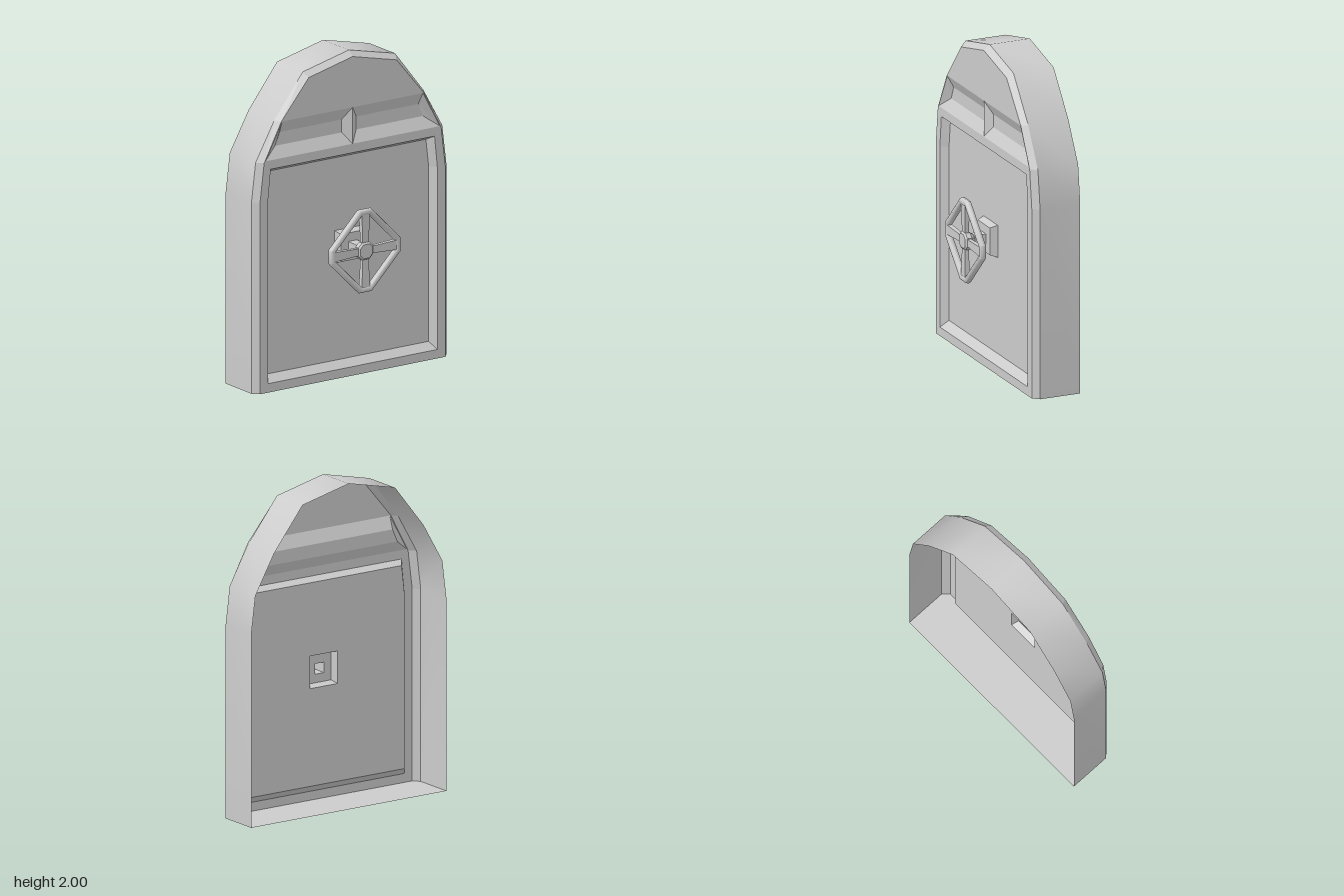
import * as THREE from 'three';
import { toCreasedNormals } from 'three/addons/utils/BufferGeometryUtils.js';

const V = (x, y, z) => new THREE.Vector3(x, y, z);
const smooth = new THREE.MeshStandardMaterial({ color: 0xcccccc, side: THREE.DoubleSide });
const flat = new THREE.MeshStandardMaterial({ color: 0xcccccc, side: THREE.DoubleSide, flatShading: true });

// Half profile (right side, bottom to top) mirrored into a counter-clockwise loop
const mirror = (half) => [
  ...half,
  ...half.filter(([x]) => x > 0).reverse().map(([x, y]) => [-x, y]),
];
const at = (loop, z) => loop.map(([x, y]) => V(x, y, z));
const square = (h, cy) => mirror([[h, cy - h], [h, cy + h]]);

// Skin between rows of points; closed joins the last point of each row to the first
function loft(rows, closed = true) {
  const pos = [];
  const n = rows[0].length;
  for (let i = 0; i < rows.length - 1; i++) {
    for (let j = 0; j < (closed ? n : n - 1); j++) {
      const k = (j + 1) % n;
      const [a, b, c, d] = [rows[i][j], rows[i][k], rows[i + 1][k], rows[i + 1][j]];
      for (const p of [a, b, c, a, c, d]) pos.push(p.x, p.y, p.z);
    }
  }
  const g = new THREE.BufferGeometry();
  g.setAttribute('position', new THREE.Float32BufferAttribute(pos, 3));
  g.computeVertexNormals();
  return g;
}

// Flat plate at depth z with optional holes
function plate(loop, z, holes = []) {
  const toV2 = (l) => l.map(([x, y]) => new THREE.Vector2(x, y));
  const shape = new THREE.Shape(toV2(loop));
  shape.holes = holes.map((h) => new THREE.Path(toV2(h)));
  return new THREE.ShapeGeometry(shape).translate(0, 0, z);
}

export function createModel() {
  const model = new THREE.Group();
  const door = new THREE.Group();
  door.name = 'door';
  const add = (parent, name, geometry, material = flat) => {
    const mesh = new THREE.Mesh(geometry, material);
    mesh.name = name;
    parent.add(mesh);
    return mesh;
  };

  const FRONT = 0.3, PANEL = 0.255, GROOVE = 0.262, CY = 0.8;

  // Outer arched shell, open at the back
  const outer = mirror([[0.71, 0], [0.71, 1.18], [0.68, 1.42], [0.543, 1.66], [0.336, 1.922], [0, 2]]);
  const face = mirror([[0.675, 0], [0.675, 1.18], [0.645, 1.42], [0.52, 1.655], [0.32, 1.893], [0, 1.968]]);
  add(door, 'archShell', toCreasedNormals(loft([at(outer, 0), at(outer, 0.262)]), 0.75), smooth);
  add(door, 'archBevel', loft([at(outer, 0.262), at(face, FRONT)]));

  // Front face with openings for the panel and the groove
  const opening = mirror([[0.617, 0.055], [0.617, 1.18], [0.597, 1.375]]);
  const inner = mirror([[0.586, 0.1], [0.586, 1.18], [0.566, 1.35]]);
  const grooveRim = mirror([[0.636, 1.43], [0.512, 1.655]]);
  const grooveBed = mirror([[0.54, 1.5], [0.505, 1.58]]);
  add(door, 'frontFace', plate(face, FRONT, [opening, grooveRim]));

  // Recessed panel with a hole behind the lock box
  add(door, 'panelEdge', loft([at(opening, FRONT), at(inner, PANEL)]));
  add(door, 'panel', plate(inner, PANEL, [square(0.1, CY)]));

  // Cross groove and the ridge that splits it
  add(door, 'grooveWalls', loft([at(grooveRim, FRONT), at(grooveBed, GROOVE)]));
  add(door, 'grooveBed', plate(grooveBed, GROOVE));
  const ridgeRow = (x, z) => [V(0, 1.655, FRONT), V(x, 1.58, z), V(x, 1.5, z), V(0, 1.43, FRONT)];
  add(door, 'grooveRidge', loft([ridgeRow(-0.053, GROOVE), ridgeRow(0, FRONT), ridgeRow(0.053, GROOVE)], false));

  // Hollow lock box and shaft
  const boxFront = square(0.085, CY), shaft = square(0.032, CY);
  add(door, 'lockBox', loft([at(square(0.1, CY), PANEL), at(boxFront, FRONT)]));
  add(door, 'lockBoxFront', plate(boxFront, FRONT, [shaft]));
  add(door, 'shaft', loft([at(shaft, FRONT), at(square(0.028, CY), 0.385)]));

  // Handwheel: rim, hub and spokes
  const wheel = new THREE.Group();
  wheel.name = 'handwheel';
  wheel.position.set(0, CY, 0.42);
  const octagon = (r, h) => {
    const pts = [];
    for (let q = 0; q < 4; q++) {
      const c = Math.round(Math.cos(q * Math.PI / 2)), s = Math.round(Math.sin(q * Math.PI / 2));
      for (const y of [-h, h]) pts.push(V(r * c - y * s, r * s + y * c, 0));
    }
    return pts;
  };
  const rimOut = octagon(0.258, 0.043), rimIn = octagon(0.217, 0.027);
  const rimRows = [];
  for (let k = 0; k <= 8; k++) {
    const a = (k / 8) * Math.PI * 2;
    rimRows.push(rimOut.map((p, i) => {
      const q = rimIn[i].clone().lerp(p, (1 + Math.cos(a)) / 2);
      return q.setZ(0.023 * Math.sin(a));
    }));
  }
  add(wheel, 'rim', toCreasedNormals(loft(rimRows), 0.9), smooth);

  const hubRows = [[0.03, -0.05], [0.053, -0.018], [0.053, 0.012], [0.043, 0.022], [0.0001, 0.022]]
    .map(([r, z]) => octagon(r, r * 0.5).map((p) => p.setZ(z)));
  add(wheel, 'hub', loft(hubRows));

  for (let i = 0; i < 4; i++) {
    const spoke = new THREE.CylinderGeometry(0.042, 0.03, 0.19, 4)
      .rotateY(Math.PI / 4).scale(1, 1, 0.55).translate(0, 0.135, 0).rotateZ(i * Math.PI / 2);
    add(wheel, 'spoke', spoke);
  }
  door.add(wheel);

  // The door stands turned to the side
  door.rotation.y = THREE.MathUtils.degToRad(81.5);
  door.position.set(-0.185, 0, -0.02);
  model.add(door);
  return model;
}
